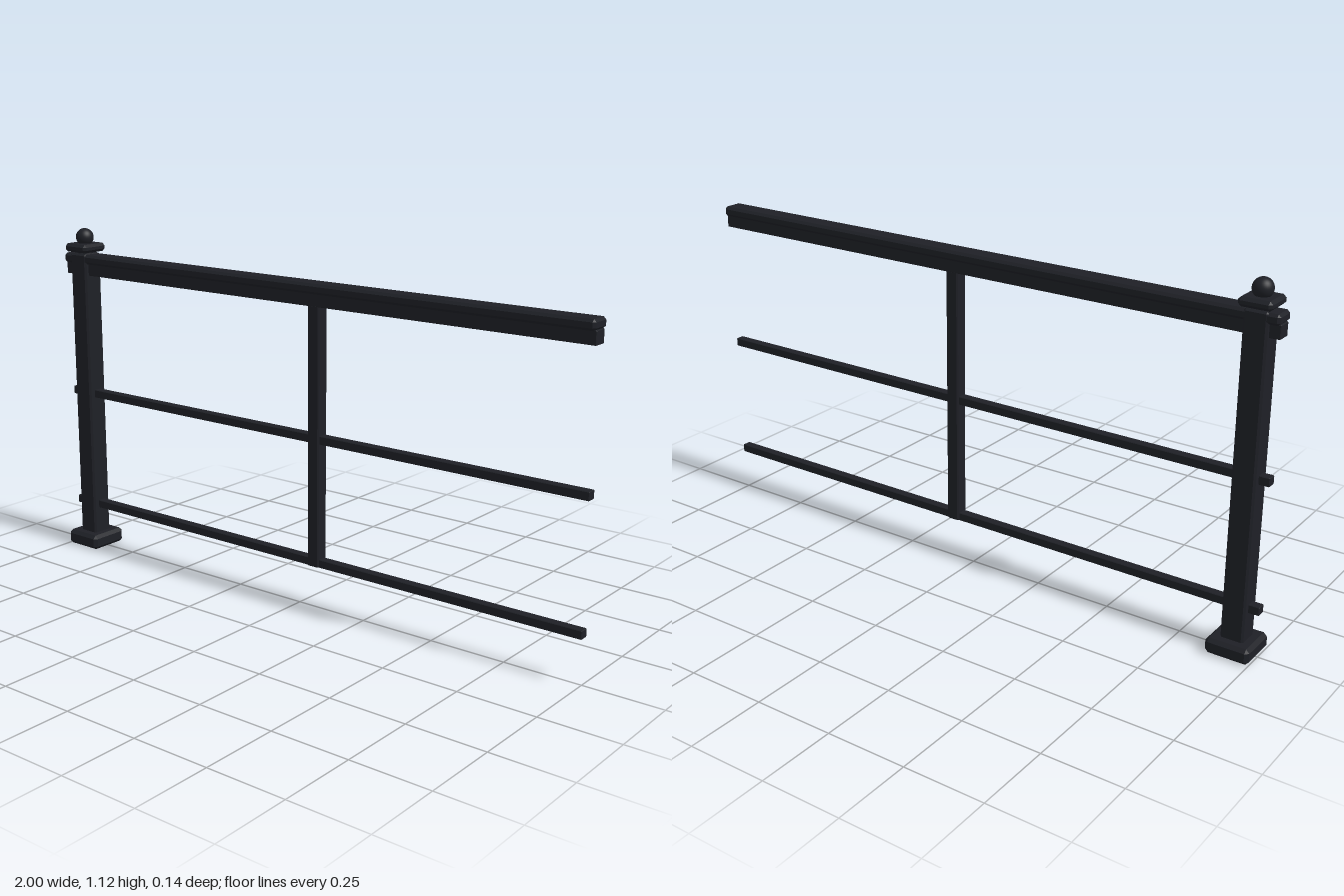
import * as THREE from 'three';
import { ConvexGeometry } from 'three/addons/geometries/ConvexGeometry.js';

const metal = new THREE.MeshStandardMaterial({ color: 0x1e2026 });

// Box with all edges and corners chamfered by c
function chamferBox(w, h, d, c) {
  const pts = [];
  for (const sx of [-1, 1]) for (const sy of [-1, 1]) for (const sz of [-1, 1]) {
    for (let axis = 0; axis < 3; axis++) {
      const inset = [c, c, c];
      inset[axis] = 0;
      pts.push(new THREE.Vector3(
        sx * (w / 2 - inset[0]), sy * (h / 2 - inset[1]), sz * (d / 2 - inset[2])));
    }
  }
  return new ConvexGeometry(pts);
}

export function createModel() {
  const group = new THREE.Group();
  const add = (name, geometry, x, y) => {
    const mesh = new THREE.Mesh(geometry, metal);
    mesh.name = name;
    mesh.position.set(x, y, 0);
    group.add(mesh);
  };
  // Bar given by its lower and upper height
  const bar = (name, x, y0, y1, w, d, c) =>
    add(name, chamferBox(w, y1 - y0, d, c), x, (y0 + y1) / 2);

  // End post with foot, cap and ball
  const postX = -0.931;
  bar('postBase', postX, 0, 0.05, 0.138, 0.138, 0.011);
  bar('post', postX, 0.04, 1.038, 0.072, 0.072, 0.006);
  add('finialNeck', new THREE.CylinderGeometry(0.022, 0.028, 0.04, 24), postX, 1.05);
  bar('postCap', postX, 1.043, 1.071, 0.1, 0.1, 0.009);
  add('finialBall', new THREE.SphereGeometry(0.03, 32, 20), postX, 1.091);

  // Handrail over its supporting beam
  bar('handrail', 0, 1.004, 1.036, 2, 0.07, 0.008);
  bar('topBeam', 0, 0.965, 1.006, 2, 0.044, 0.002);

  // Lower rails
  for (const [name, y] of [['middleRail', 0.553], ['bottomRail', 0.153]])
    bar(name, 0, y - 0.0135, y + 0.0135, 2, 0.029, 0.002);

  // Intermediate upright
  bar('upright', 0.067, 0.14, 0.97, 0.043, 0.043, 0.004);

  return group;
}
